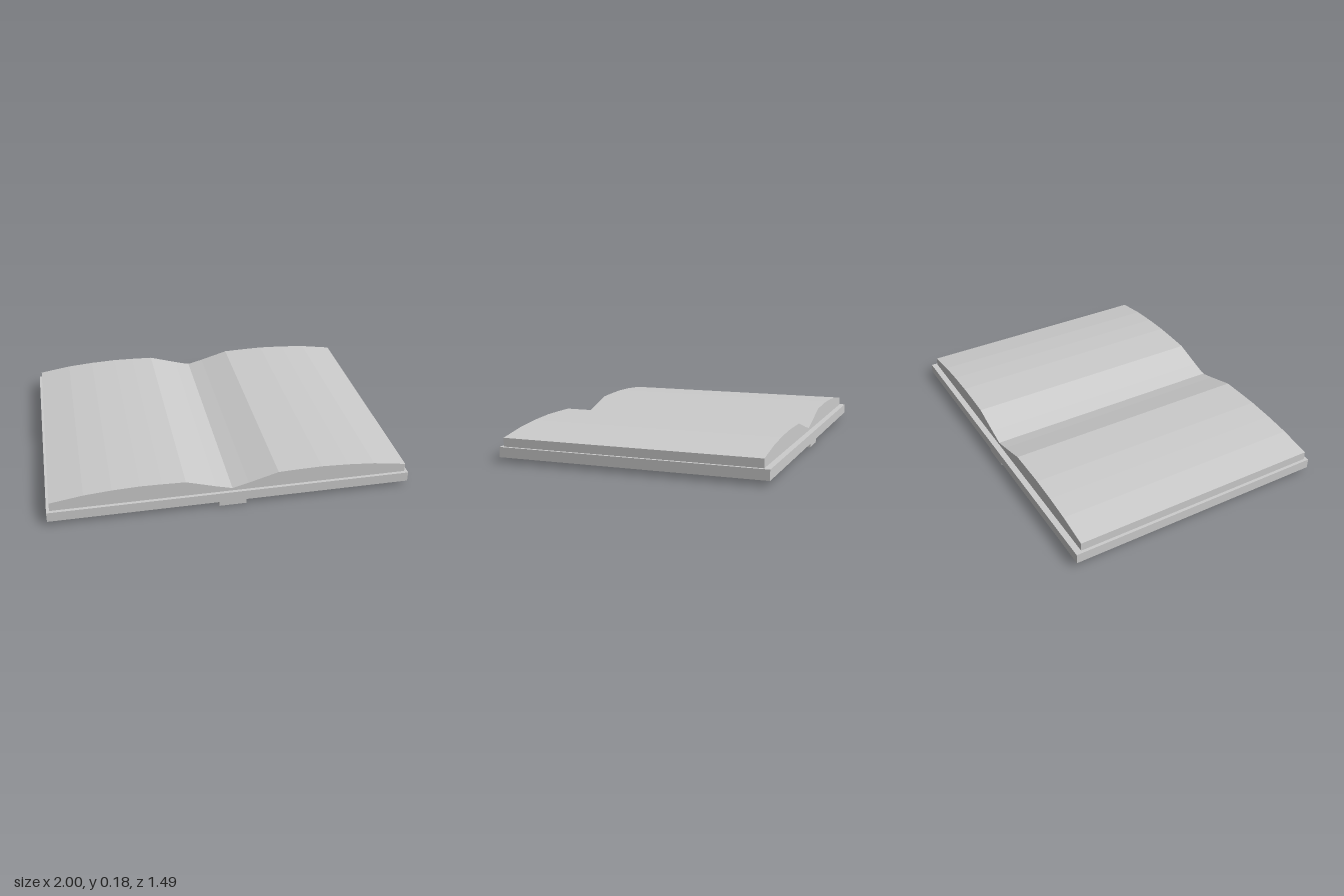
import * as THREE from 'three';

export function createModel() {
  const book = new THREE.Group();
  book.name = 'openBook';
  const material = new THREE.MeshStandardMaterial({ color: 0xcccccc, flatShading: true });

  function add(name, geometry, x, y, z) {
    const mesh = new THREE.Mesh(geometry, material);
    mesh.name = name;
    mesh.position.set(x, y, z);
    book.add(mesh);
  }

  // Spine strip under the cover
  add('spine', new THREE.BoxGeometry(0.15, 0.03, 1.485), 0, 0.015, 0.002);

  // Cover board, opened flat
  add('cover', new THREE.BoxGeometry(2, 0.056, 1.492), 0, 0.055, 0);

  // Page block: half profile from gutter to outer edge, mirrored
  const half = [[0.09, 0.122], [0.255, 0.171], [0.38, 0.175], [0.5, 0.177], [0.65, 0.171], [0.8, 0.159], [0.983, 0.131], [0.983, 0.08]];
  const mirrored = half.map(([x, y]) => [-x, y]).reverse();
  const outline = [...mirrored, [0, 0.098], ...half].map(([x, y]) => new THREE.Vector2(x, y));
  const pages = new THREE.ExtrudeGeometry(new THREE.Shape(outline), { depth: 1.44, bevelEnabled: false });
  add('pages', pages, 0, 0, -0.712);

  return book;
}
